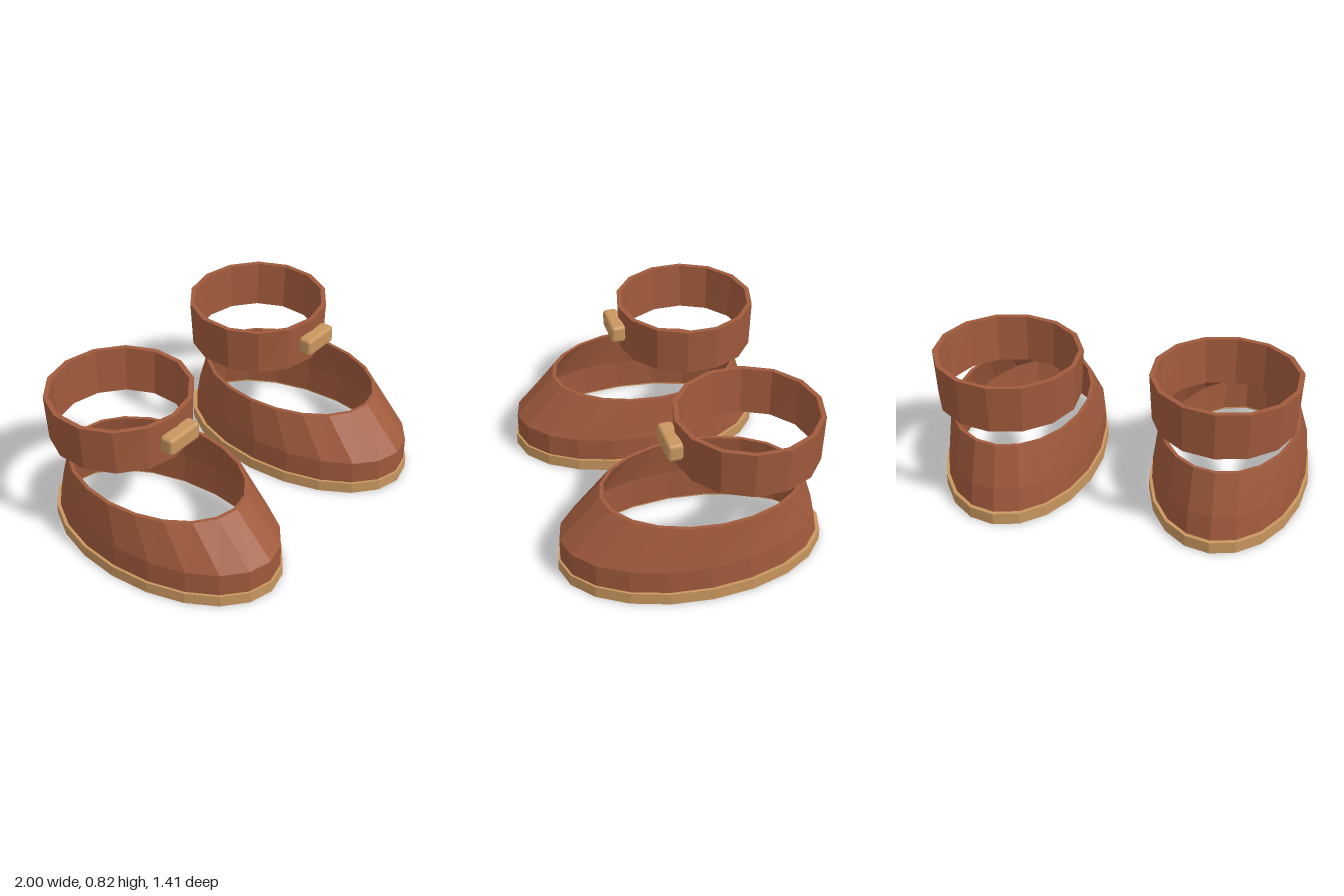
import * as THREE from 'three';
import { RoundedBoxGeometry } from 'three/addons/geometries/RoundedBoxGeometry.js';

// Closed faceted ring: each section is [y, centreZ, radiusX, radiusZ],
// listed up the outside and back down the inside.
function ringGeometry(sections, sides) {
  const positions = [];
  const point = (i, j) => {
    const [y, cz, rx, rz] = sections[i % sections.length];
    const a = ((j % sides) / sides) * Math.PI * 2;
    return [rx * Math.sin(a), y, cz + rz * Math.cos(a)];
  };
  for (let i = 0; i < sections.length; i++) {
    for (let j = 0; j < sides; j++) {
      const a = point(i, j), b = point(i, j + 1);
      const c = point(i + 1, j + 1), d = point(i + 1, j);
      positions.push(...a, ...b, ...c, ...a, ...c, ...d);
    }
  }
  const geometry = new THREE.BufferGeometry();
  geometry.setAttribute('position', new THREE.Float32BufferAttribute(positions, 3));
  geometry.computeVertexNormals(); // unshared corners give flat facets
  return geometry;
}

// Adds the inner wall to an outer profile
function wall(outer, thickness) {
  const inner = outer.map(([y, cz, rx, rz]) => [y, cz, rx - thickness, rz - thickness]);
  return [...outer, ...inner.reverse()];
}

export function createModel() {
  const leather = new THREE.MeshStandardMaterial({ color: 0xa05a3c });
  leather.name = 'brown leather';
  const tan = new THREE.MeshStandardMaterial({ color: 0xc8965f });
  tan.name = 'tan';

  const soleGeometry = ringGeometry(wall([
    [0, 0.002, 0.429, 0.706],
    [0.065, 0.002, 0.429, 0.706],
  ], 0.024), 20);

  // Upper slopes back from the toe to an oval opening
  const upperGeometry = ringGeometry(wall([
    [0.015, 0.003, 0.415, 0.693],
    [0.195, 0.018, 0.412, 0.678],
    [0.42, -0.055, 0.374, 0.535],
  ], 0.02), 20);

  // Ankle collar flares slightly upward
  const collarGeometry = ringGeometry(wall([
    [0.56, -0.292, 0.376, 0.376],
    [0.82, -0.292, 0.392, 0.385],
  ], 0.027), 14);

  const buckleGeometry = new RoundedBoxGeometry(0.22, 0.1, 0.082, 2, 0.02);
  buckleGeometry.translate(0, 0.7, 0.114);

  const model = new THREE.Group();
  model.name = 'pairOfBoots';
  for (const [side, x] of [['left', 0.571], ['right', -0.571]]) {
    const boot = new THREE.Group();
    boot.name = `${side}Boot`;
    boot.position.x = x;
    for (const [name, geometry, material] of [
      ['sole', soleGeometry, tan],
      ['upper', upperGeometry, leather],
      ['ankleCollar', collarGeometry, leather],
      ['buckle', buckleGeometry, tan],
    ]) {
      const mesh = new THREE.Mesh(geometry, material);
      mesh.name = name;
      boot.add(mesh);
    }
    model.add(boot);
  }
  return model;
}
